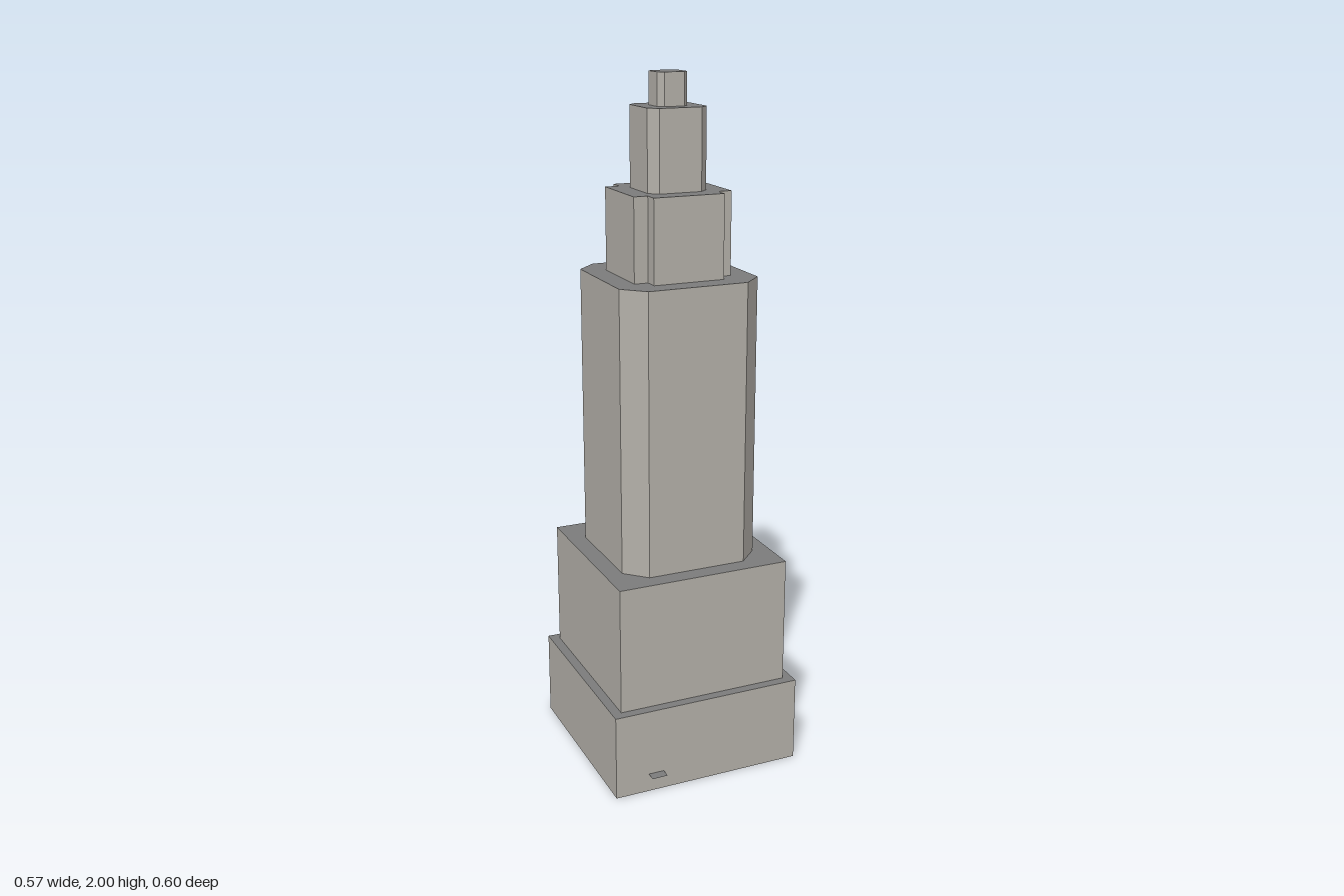
import * as THREE from 'three';

const CENTRE_Z = -0.0155;

// Square plan of half-width h whose corners are kept, cut at an angle, or notched in steps.
function plan(h, flat, corner) {
  const points = [];
  for (let i = 0; i < 4; i++) {
    const pts = corner === 'square' ? [[h, h]]
      : corner === 'notch' ? [[h, flat], [flat, flat], [flat, h]]
      : [[h, flat], [flat, h]];
    const a = i * Math.PI / 2, c = Math.cos(a), s = Math.sin(a);
    for (const [x, y] of pts) points.push(new THREE.Vector2(x * c - y * s, x * s + y * c));
  }
  return new THREE.Shape(points);
}

export function createModel() {
  const group = new THREE.Group();
  group.name = 'steppedTower';

  const wall = new THREE.MeshStandardMaterial({ color: 0xb5b1aa });
  wall.name = 'warm stone';
  const roof = new THREE.MeshStandardMaterial({ color: 0x7c7c7c });
  roof.name = 'roof grey';

  // Tiers from the ground up: name, half-width, half-length of flat face, corner type, bottom, top
  const tiers = [
    ['base', 0.2865, 0, 'square', 0, 0.255],
    ['podium', 0.2585, 0, 'square', 0.255, 0.63],
    ['shaft', 0.2065, 0.147, 'chamfer', 0.63, 1.45],
    ['upperSetback', 0.1445, 0.104, 'notch', 1.45, 1.685],
    ['crown', 0.087, 0.062, 'chamfer', 1.685, 1.91],
    ['cap', 0.044, 0.029, 'chamfer', 1.91, 2],
  ];
  for (const [name, h, flat, corner, bottom, top] of tiers) {
    const geometry = new THREE.ExtrudeGeometry(plan(h, flat, corner), {
      depth: top - bottom, bevelEnabled: false,
    });
    geometry.rotateX(-Math.PI / 2);
    const mesh = new THREE.Mesh(geometry, [roof, wall]);
    mesh.name = name;
    mesh.position.set(0, bottom, CENTRE_Z);
    group.add(mesh);
  }

  // Small flat canopy over the entrance
  const canopy = new THREE.Mesh(new THREE.PlaneGeometry(0.047, 0.029).rotateX(-Math.PI / 2), roof);
  canopy.name = 'entranceCanopy';
  canopy.position.set(-0.163, 0.055, 0.2855);
  group.add(canopy);

  return group;
}
